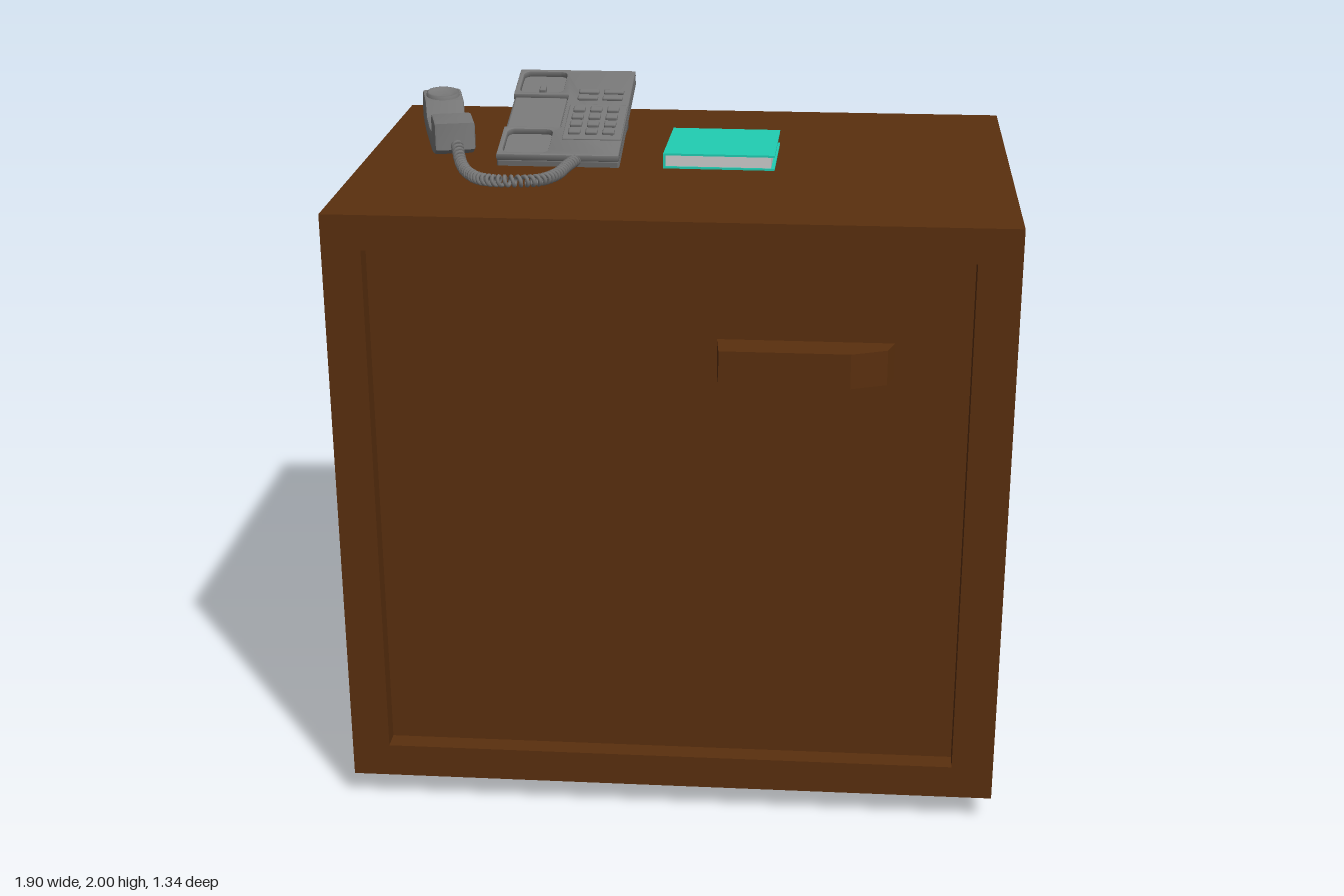
import * as THREE from 'three';
import { RoundedBoxGeometry } from 'three/addons/geometries/RoundedBoxGeometry.js';
import { toCreasedNormals } from 'three/addons/utils/BufferGeometryUtils.js';

const mat = (color) => new THREE.MeshStandardMaterial({ color });
const wood = mat(0x5a2f0e), teal = mat(0x20cdb3), paper = mat(0xcccccc), plastic = mat(0x777777);

function add(parent, name, geometry, material, x = 0, y = 0, z = 0) {
  const mesh = new THREE.Mesh(geometry, material);
  mesh.name = name;
  mesh.position.set(x, y, z);
  parent.add(mesh);
  return mesh;
}

const box = (w, h, d) => new THREE.BoxGeometry(w, h, d);
const shapeOf = (pts) => new THREE.Shape(pts.map(([x, y]) => new THREE.Vector2(x, y)));
const rect = (x0, y0, x1, y1) => [[x0, y0], [x1, y0], [x1, y1], [x0, y1]];

// Extrude with an optional bevel that keeps the outline and depth unchanged
function extrude(shape, depth, bevel = 0) {
  const g = new THREE.ExtrudeGeometry(shape, {
    depth: depth - 2 * bevel, bevelEnabled: bevel > 0, bevelSize: bevel,
    bevelThickness: bevel, bevelOffset: -bevel, bevelSegments: 2, curveSegments: 6,
  });
  return g.translate(0, 0, bevel);
}

// Side profile in (z, y), centred on x
const sideExtrude = (pts, width, bevel) =>
  toCreasedNormals(extrude(shapeOf(pts), width, bevel).rotateY(-Math.PI / 2).translate(width / 2, 0, 0), 0.6);

function roundRect(x0, y0, x1, y1, r, Type = THREE.Shape) {
  const s = new Type();
  s.moveTo(x0 + r, y0);
  s.lineTo(x1 - r, y0); s.quadraticCurveTo(x1, y0, x1, y0 + r);
  s.lineTo(x1, y1 - r); s.quadraticCurveTo(x1, y1, x1 - r, y1);
  s.lineTo(x0 + r, y1); s.quadraticCurveTo(x0, y1, x0, y1 - r);
  s.lineTo(x0, y0 + r); s.quadraticCurveTo(x0, y0, x0 + r, y0);
  return s;
}

function createCabinet() {
  const g = new THREE.Group();
  g.name = 'cabinet';
  add(g, 'cabinetBody', box(1.9, 1.74, 1.24), wood, 0, 0.95, -0.05);

  // Frame standing proud around the recessed door
  const frame = shapeOf(rect(-0.95, 0.08, 0.95, 1.82));
  frame.holes.push(shapeOf(rect(-0.84, 0.18, 0.83, 1.72)));
  add(g, 'doorFrame', extrude(frame, 0.06), wood, 0, 0, 0.57);

  // Handle outline seen from above, tapering at one end
  const handle = shapeOf([[0.13, -0.57], [0.62, -0.57], [0.6, -0.63], [0.5, -0.67], [0.14, -0.67]]);
  add(g, 'doorHandle', extrude(handle, 0.1).rotateX(-Math.PI / 2), wood, 0, 1.37, 0);

  for (const x of [-0.7, 0.7])
    for (const z of [-0.51, 0.36]) add(g, 'foot', box(0.24, 0.08, 0.24), wood, x, 0.04, z);
  return g;
}

function createBook() {
  const g = new THREE.Group();
  g.name = 'book';
  g.position.set(0.105, 1.82, -0.08);
  g.rotation.y = -0.015;
  for (const y of [0.003, 0.042]) add(g, 'cover', box(0.325, 0.006, 0.315), teal, 0, y, 0);
  add(g, 'spine', box(0.006, 0.045, 0.315), teal, -0.16, 0.0225, 0);
  add(g, 'pages', box(0.31, 0.034, 0.305), paper, -0.003, 0.0225, 0);
  return g;
}

function createPhoneBase() {
  const g = new THREE.Group();
  g.name = 'phoneBase';
  g.position.x = -0.37;
  const stand = [[0.05, 1.82], [0.05, 1.85], [-0.41, 1.95], [-0.39, 1.82]];
  add(g, 'stand', sideExtrude(stand, 0.32, 0.004), plastic);

  // Sloping top: origin on its front edge, rising toward -z
  const deck = new THREE.Group();
  deck.name = 'slopingDeck';
  deck.position.set(0, 1.858, 0.09);
  deck.rotation.x = 0.26;
  g.add(deck);
  add(deck, 'lowerShell', new RoundedBoxGeometry(0.36, 0.032, 0.54, 2, 0.006), plastic, 0, -0.034, -0.27);

  // Upper shell with a notch for the grip and a well for each handset end
  const top = shapeOf([[-0.18, 0], [0.18, 0], [0.18, 0.54], [-0.18, 0.54],
    [-0.18, 0.375], [-0.01, 0.375], [-0.01, 0.17], [-0.18, 0.17]]);
  top.holes.push(roundRect(-0.165, 0.015, -0.03, 0.155, 0.025, THREE.Path));
  top.holes.push(roundRect(-0.165, 0.39, -0.03, 0.525, 0.025, THREE.Path));
  const shell = extrude(top, 0.022, 0.004).rotateX(-Math.PI / 2);
  add(deck, 'upperShell', toCreasedNormals(shell, 0.6), plastic, 0, -0.022, 0);
  add(deck, 'gripChannel', new RoundedBoxGeometry(0.16, 0.012, 0.2, 2, 0.005), plastic, -0.095, -0.016, -0.273);
  add(deck, 'hookSwitch', new RoundedBoxGeometry(0.02, 0.02, 0.03, 2, 0.004), plastic, -0.095, -0.01, -0.42);

  // Keypad and function buttons
  add(deck, 'keypadPanel', new RoundedBoxGeometry(0.175, 0.008, 0.215, 2, 0.003), plastic, 0.09, 0, -0.2);
  for (let row = 0; row < 4; row++)
    for (let col = 0; col < 3; col++)
      add(deck, 'key', new RoundedBoxGeometry(0.036, 0.014, 0.027, 2, 0.005), plastic,
        0.036 + col * 0.051, 0.007, -0.13 - row * 0.046);
  for (let row = 0; row < 2; row++)
    for (let col = 0; col < 2; col++)
      add(deck, 'functionKey', new RoundedBoxGeometry(0.062, 0.012, 0.022, 2, 0.005), plastic,
        0.052 + col * 0.076, 0.003, -0.35 - row * 0.04);
  return g;
}

function createHandset() {
  const g = new THREE.Group();
  g.name = 'handset';
  g.position.set(-0.74, 1.82, -0.187);
  g.rotation.y = 0.26;

  // Lying on its back with both ends turned up
  const profile = [[-0.258, 0.03], [-0.2, 0.01], [-0.12, 0], [0.12, 0], [0.2, 0.015], [0.258, 0.04],
    [0.252, 0.118], [0.13, 0.12], [0.108, 0.06], [0, 0.05], [-0.1, 0.058], [-0.13, 0.1], [-0.235, 0.112]];
  add(g, 'handsetShell', sideExtrude(profile, 0.12, 0.008), plastic);

  // Raised ring and shallow dish of the earpiece
  const dish = [[0, 0], [0.025, 0.001], [0.038, 0.004], [0.045, 0.009], [0.05, 0.008], [0.053, -0.006]];
  const lathe = new THREE.LatheGeometry(dish.map(([r, y]) => new THREE.Vector2(r, y)).reverse(), 24);
  const ear = add(g, 'earpiece', lathe, plastic, 0, 0.108, -0.183);
  ear.material = plastic.clone();
  ear.material.side = THREE.DoubleSide;
  ear.rotation.x = 0.11;
  return g;
}

// Helix wound round a guide path
class CoilCurve extends THREE.Curve {
  constructor(path, turns, radius) {
    super();
    Object.assign(this, { path, turns, radius });
  }
  getPoint(t, target = new THREE.Vector3()) {
    const a = t * this.turns * Math.PI * 2;
    const tangent = this.path.getTangentAt(t);
    const side = new THREE.Vector3(0, 1, 0).cross(tangent).normalize();
    const up = tangent.cross(side);
    return target.copy(this.path.getPointAt(t))
      .addScaledVector(side, Math.cos(a) * this.radius)
      .addScaledVector(up, Math.sin(a) * this.radius);
  }
}

function createCord() {
  const path = new THREE.CatmullRomCurve3([
    [-0.67, 1.875, 0.06], [-0.64, 1.845, 0.16], [-0.595, 1.843, 0.27], [-0.54, 1.85, 0.35],
    [-0.46, 1.857, 0.386], [-0.39, 1.85, 0.345], [-0.35, 1.843, 0.25], [-0.335, 1.842, 0.16], [-0.315, 1.842, 0.07],
  ].map((p) => new THREE.Vector3(...p)));
  const turns = 42;
  return new THREE.TubeGeometry(new CoilCurve(path, turns, 0.013), turns * 12, 0.006, 6);
}

export function createModel() {
  const model = new THREE.Group();
  model.name = 'cabinetWithTelephone';
  model.add(createCabinet(), createBook());

  const phone = new THREE.Group();
  phone.name = 'telephone';
  phone.add(createPhoneBase(), createHandset());
  add(phone, 'coiledCord', createCord(), plastic);
  model.add(phone);
  return model;
}
